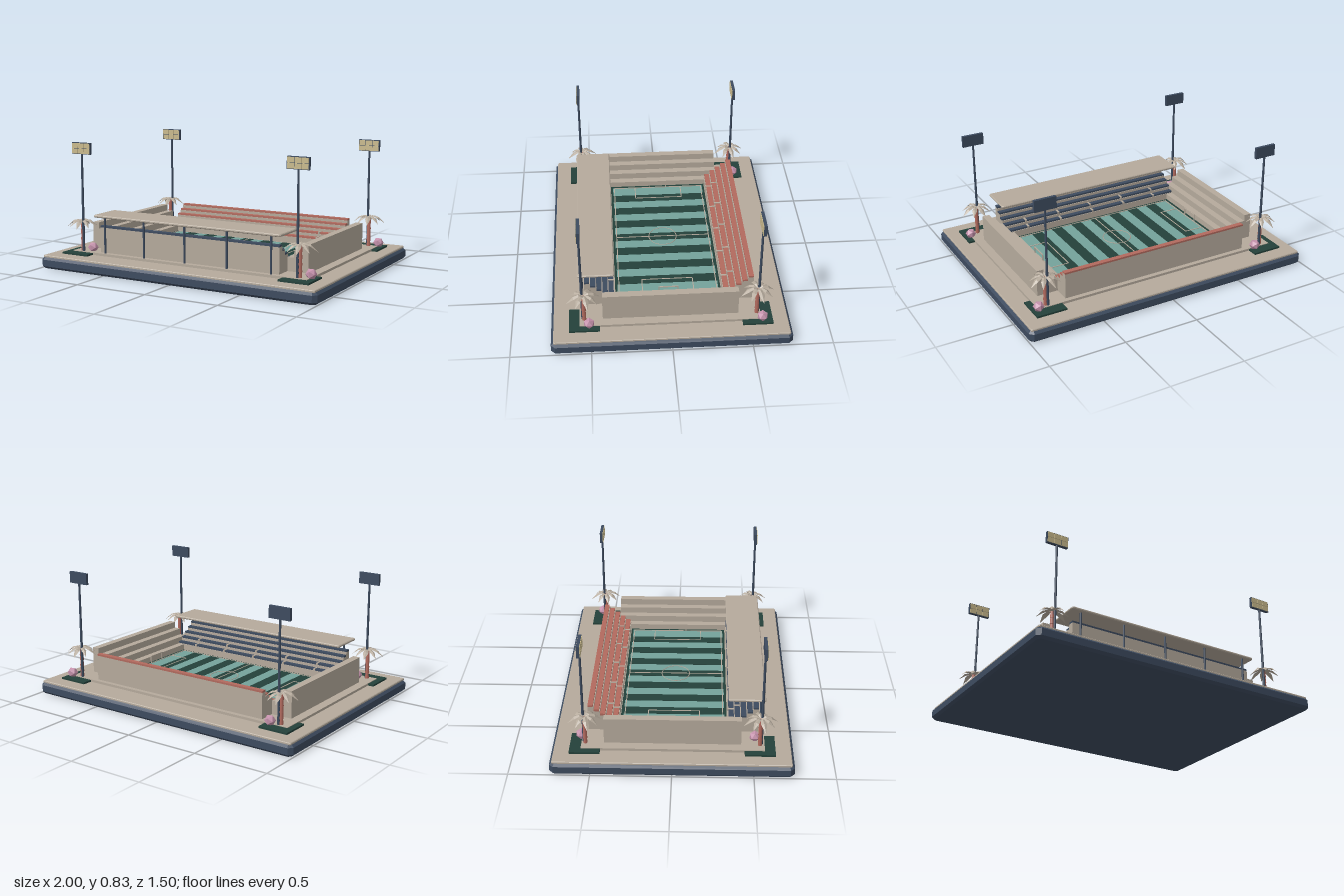
import * as THREE from 'three';

const mat = (name, color, side = THREE.FrontSide) => {
  const m = new THREE.MeshStandardMaterial({ color, side });
  m.name = name;
  return m;
};

export function createModel() {
  const root = new THREE.Group();
  root.name = 'stadium';
  const stone = mat('stone', 0xb5aa9c, THREE.DoubleSide);
  const navy = mat('navy', 0x3d4b5f);
  const red = mat('brick red', 0xb26a5e);
  const grass = mat('light grass', 0x74a29b);
  const darkGrass = mat('dark green', 0x24413a);
  const lamp = mat('lamp', 0xcabb8e);
  const pink = mat('pink', 0xc592ac);
  pink.flatShading = true;

  const add = (parent, name, geo, material, x = 0, y = 0, z = 0) => {
    const m = new THREE.Mesh(geo, material);
    m.name = name;
    m.position.set(x, y, z);
    parent.add(m);
    return m;
  };
  // Box given by its extents on each axis
  const block = (parent, name, material, x0, x1, y0, y1, z0, z1) =>
    add(parent, name, new THREE.BoxGeometry(x1 - x0, y1 - y0, z1 - z0), material,
      (x0 + x1) / 2, (y0 + y1) / 2, (z0 + z1) / 2);
  // Flat slab with cut corners and bevelled edges
  const slab = (name, material, hx, hz, y0, y1, bevel, z = 0) => {
    const a = hx - bevel, b = hz - bevel, c = bevel;
    const shape = new THREE.Shape([
      [-a + c, -b], [a - c, -b], [a, -b + c], [a, b - c],
      [a - c, b], [-a + c, b], [-a, b - c], [-a, -b + c],
    ].map(([x, y]) => new THREE.Vector2(x, y)));
    const geo = new THREE.ExtrudeGeometry(shape, {
      depth: y1 - y0 - 2 * bevel, bevelEnabled: true, bevelSegments: 1,
      bevelSize: bevel, bevelThickness: bevel,
    });
    geo.rotateX(-Math.PI / 2);
    return add(root, name, geo, material, 0, y0 + bevel, z);
  };

  // Ground
  slab('base', navy, 1, 0.748, 0, 0.075, 0.016);
  slab('paving', stone, 0.985, 0.733, 0.07, 0.087, 0.004);
  block(root, 'plinth', stone, -0.86, 0.86, 0.085, 0.103, -0.565, 0.57);

  // Pitch with mown stripes
  block(root, 'pitchBorder', darkGrass, -0.61, 0.61, 0.1, 0.108, -0.34, 0.34);
  block(root, 'pitch', grass, -0.59, 0.59, 0.106, 0.111, -0.325, 0.325);
  for (let i = -3; i <= 3; i++) {
    const x = i * 0.151;
    block(root, 'mownStripe', darkGrass, x - 0.0375, x + 0.0375, 0.108, 0.1125, -0.325, 0.325);
  }

  // Pitch markings
  const lw = 0.003;
  const lineX = (x, z0, z1) => block(root, 'marking', stone, x - lw, x + lw, 0.11, 0.1145, z0, z1);
  const lineZ = (z, x0, x1) => block(root, 'marking', stone, x0, x1, 0.11, 0.1145, z - lw, z + lw);
  lineX(0, -0.315, 0.315);
  for (const s of [-1, 1]) {
    lineX(s * 0.582, -0.315, 0.315);
    lineZ(s * 0.315, -0.585, 0.585);
    lineX(s * 0.453, -0.165, 0.165);
    for (const z of [-0.165, 0.165]) lineZ(z, Math.min(s * 0.453, s * 0.582), Math.max(s * 0.453, s * 0.582));
    // Goal frame
    for (const z of [-0.06, 0.06]) block(root, 'goalPost', stone, s * 0.588 - 0.003, s * 0.588 + 0.003, 0.11, 0.16, z - 0.003, z + 0.003);
    block(root, 'goalBar', stone, s * 0.588 - 0.003, s * 0.588 + 0.003, 0.157, 0.163, -0.063, 0.063);
  }
  const circle = new THREE.TorusGeometry(0.094, 0.003, 4, 40);
  circle.rotateX(Math.PI / 2);
  add(root, 'centreCircle', circle, stone, 0, 0.1125, 0);

  // Long stands: five seat rows with aisles on the lower two
  const longStand = (name, seatMaterial, turn) => {
    const g = new THREE.Group();
    g.name = name;
    g.rotation.y = turn;
    root.add(g);
    const depth = 0.038, rise = 0.03;
    for (let i = 0; i < 5; i++) {
      const zf = -0.345 - i * depth, top = 0.15 + i * rise;
      block(g, 'terrace', stone, -0.66, 0.66, 0.1, top, zf - depth, zf);
      block(g, 'seatRow', seatMaterial, -0.66, 0.66, top, top + 0.012, zf - depth, zf - 0.005);
      if (i < 2) for (let k = -2; k <= 2; k++) {
        block(g, 'aisle', stone, k * 0.25 - 0.006, k * 0.25 + 0.006, top, top + 0.015, zf - depth, zf);
      }
    }
  };
  longStand('backStand', red, 0);
  longStand('frontStand', navy, Math.PI);

  // Stepped end stands
  for (const s of [-1, 1]) {
    for (let i = 0; i < 4; i++) {
      const c = s * (0.634 + i * 0.0475), top = 0.147 + i * 0.0437;
      block(root, 'endTerrace', stone, c - 0.02375, c + 0.02375, 0.1, top, -0.425, 0.425);
    }
  }

  // Canopy and its columns
  slab('canopy', stone, 0.685, 0.116, 0.34, 0.357, 0.005, 0.46);
  for (let i = -2; i <= 2; i++) {
    add(root, 'canopyColumn', new THREE.CylinderGeometry(0.007, 0.007, 0.24, 8), navy, i * 0.306, 0.222, 0.55);
  }

  // Folded palm frond built from cross-sections
  const sections = [[0, 0, 0.004], [0.03, 0.017, 0.013], [0.065, 0.008, 0.018], [0.108, -0.035, 0.0005]];
  const pos = [], idx = [];
  sections.forEach(([r, y, w], i) => {
    pos.push(r, y - w * 0.5, -w, r, y, 0, r, y - w * 0.5, w);
    if (i) for (let k = 0; k < 2; k++) {
      const a = (i - 1) * 3 + k, b = a + 3;
      idx.push(a, a + 1, b, a + 1, b + 1, b);
    }
  });
  let frond = new THREE.BufferGeometry();
  frond.setAttribute('position', new THREE.Float32BufferAttribute(pos, 3));
  frond.setIndex(idx);
  frond = frond.toNonIndexed();
  frond.computeVertexNormals();

  // Corner planters with palm, bush and floodlight
  for (const sx of [-1, 1]) for (const sz of [-1, 1]) {
    const g = new THREE.Group();
    g.name = 'corner';
    g.position.set(sx * 0.8, 0, sz * 0.54);
    root.add(g);
    block(g, 'planter', darkGrass, -0.1, 0.1, 0.085, 0.099, -0.095, 0.095);
    for (let i = 0; i < 5; i++) {
      add(g, 'palmTrunk', new THREE.CylinderGeometry(0.011, 0.014, 0.041, 7), red, 0, 0.118 + i * 0.04, 0);
    }
    for (let i = 0; i < 8; i++) {
      const f = add(g, 'palmFrond', frond, stone, 0, 0.297, 0);
      f.rotation.y = (i / 8) * Math.PI * 2 + 0.25;
      f.scale.setScalar(i % 2 ? 0.9 : 1);
    }
    add(g, 'bush', new THREE.IcosahedronGeometry(0.036, 0), pink, 0.06, 0.125, -0.03);

    // Floodlight, all lamps facing the front
    const px = -sx * 0.012, pz = sz * 0.01;
    add(g, 'floodlightPole', new THREE.CylinderGeometry(0.007, 0.009, 0.68, 8), navy, px, 0.43, pz);
    block(g, 'floodlightPanel', navy, px - 0.073, px + 0.073, 0.75, 0.826, pz - 0.01, pz + 0.009);
    for (let c = -1; c <= 1; c++) for (const r of [-1, 1]) {
      add(g, 'lamp', new THREE.BoxGeometry(0.044, 0.033, 0.006), lamp, px + c * 0.047, 0.788 + r * 0.0178, pz + 0.01);
    }
  }
  return root;
}
